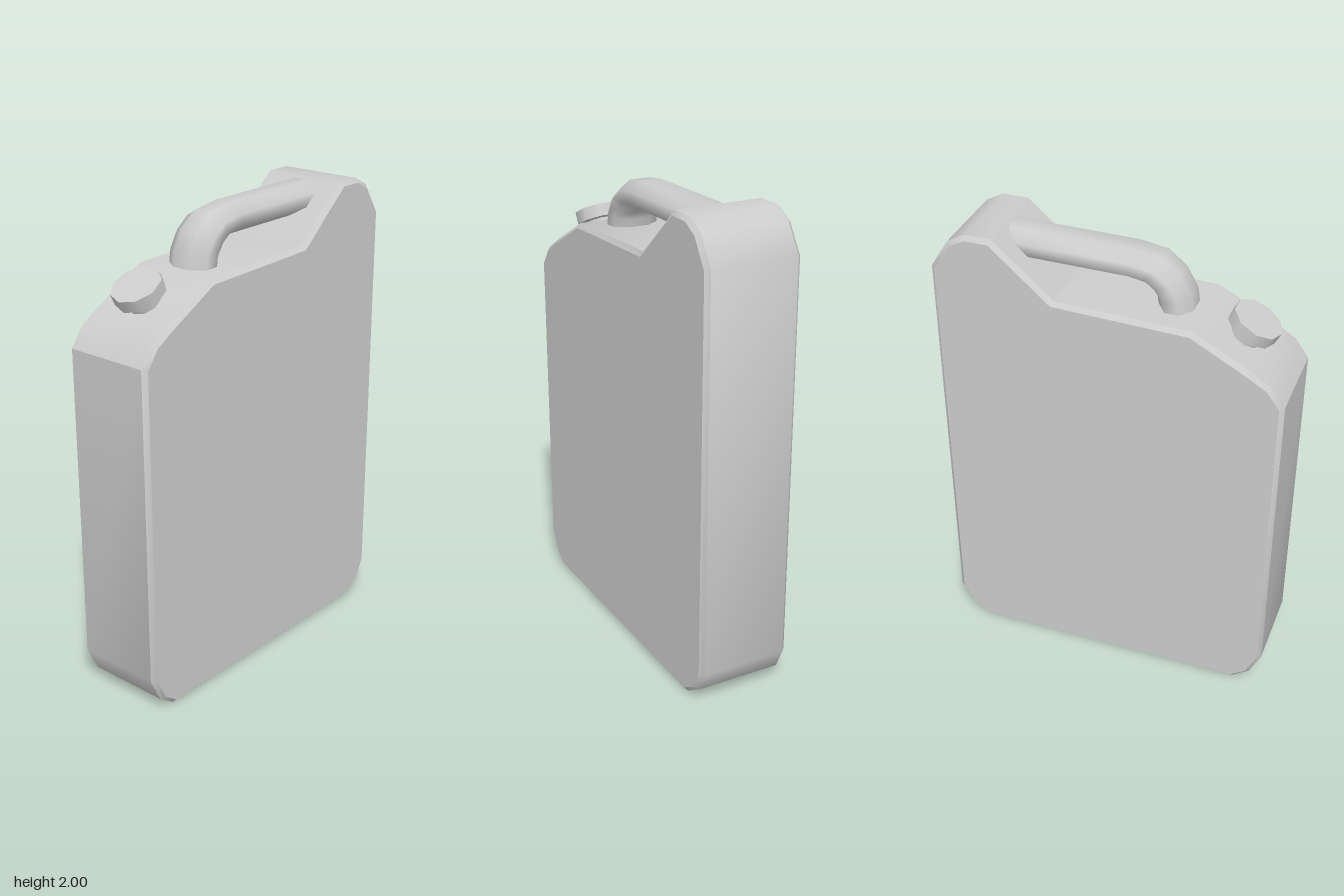
import * as THREE from 'three';
import { toCreasedNormals } from 'three/addons/utils/BufferGeometryUtils.js';

const material = new THREE.MeshStandardMaterial({ color: 0xcccccc });

function part(name, geometry) {
  const mesh = new THREE.Mesh(geometry, material);
  mesh.name = name;
  return mesh;
}

// Flat can body: side outline as [z, y], extruded across x with a chamfer
function bodyGeometry() {
  const outline = [
    [0.6, 0], [0.67, 0.05], [0.722, 0.16], [0.728, 1.5], [0.67, 1.58], [0.58, 1.635],
    [0.35, 1.76], [-0.21, 1.78], [-0.46, 2], [-0.57, 2], [-0.645, 1.96], [-0.722, 1.84],
    [-0.722, 0.15], [-0.68, 0.06], [-0.59, 0],
  ].reverse();
  const bevel = 0.018, width = 0.406;
  const shape = new THREE.Shape(outline.map(([z, y]) => new THREE.Vector2(z, y)));
  const geometry = new THREE.ExtrudeGeometry(shape, {
    depth: width - 2 * bevel, bevelThickness: bevel, bevelSize: bevel,
    bevelOffset: -bevel, bevelSegments: 1,
  });
  geometry.translate(0, 0, bevel - width / 2).rotateY(-Math.PI / 2);
  return toCreasedNormals(geometry, 0.6);
}

// Flattened octagonal tube swept through pairs of outer and inner points [z, y]
function handleGeometry() {
  const stations = [
    [[0.32, 1.7], [0.18, 1.7]], [[0.303, 1.82], [0.165, 1.8]],
    [[0.255, 1.905], [0.143, 1.83]], [[0.18, 1.963], [0.118, 1.85]],
    [[0.06, 1.982], [0.065, 1.86]], [[-0.5, 1.99], [-0.5, 1.867]],
  ];
  const sides = 8, radius = 0.108, stretch = 1 / Math.cos(Math.PI / sides);
  const positions = [], index = [];
  stations.forEach(([outer, inner], i) => {
    for (let j = 0; j < sides; j++) {
      const a = ((j + 0.5) / sides) * Math.PI * 2;
      const s = (Math.sin(a) * stretch) / 2;
      positions.push(
        Math.cos(a) * radius,
        (outer[1] + inner[1]) / 2 + (outer[1] - inner[1]) * s,
        (outer[0] + inner[0]) / 2 + (outer[0] - inner[0]) * s,
      );
      if (i === 0) continue;
      const k = (j + 1) % sides, p = (i - 1) * sides, q = i * sides;
      index.push(p + j, q + j, p + k, p + k, q + j, q + k);
    }
  });
  const geometry = new THREE.BufferGeometry();
  geometry.setAttribute('position', new THREE.Float32BufferAttribute(positions, 3));
  geometry.setIndex(index);
  geometry.computeVertexNormals();
  return geometry;
}

export function createModel() {
  const model = new THREE.Group();
  model.name = 'fuelCan';
  model.add(part('body', bodyGeometry()), part('handle', handleGeometry()));

  // Spout: neck and cap standing square to the sloping shoulder
  const spout = new THREE.Group();
  spout.name = 'spout';
  const neck = part('neck', new THREE.CylinderGeometry(0.066, 0.066, 0.14, 9));
  neck.position.y = -0.06;
  const cap = part('cap', new THREE.CylinderGeometry(0.105, 0.105, 0.053, 9));
  cap.position.y = 0.0265;
  spout.add(neck, cap);
  spout.position.set(0, 1.706, 0.534);
  spout.rotation.x = THREE.MathUtils.degToRad(28);
  model.add(spout);

  // Slight turn of the whole can
  model.rotation.y = -0.012;
  return model;
}
